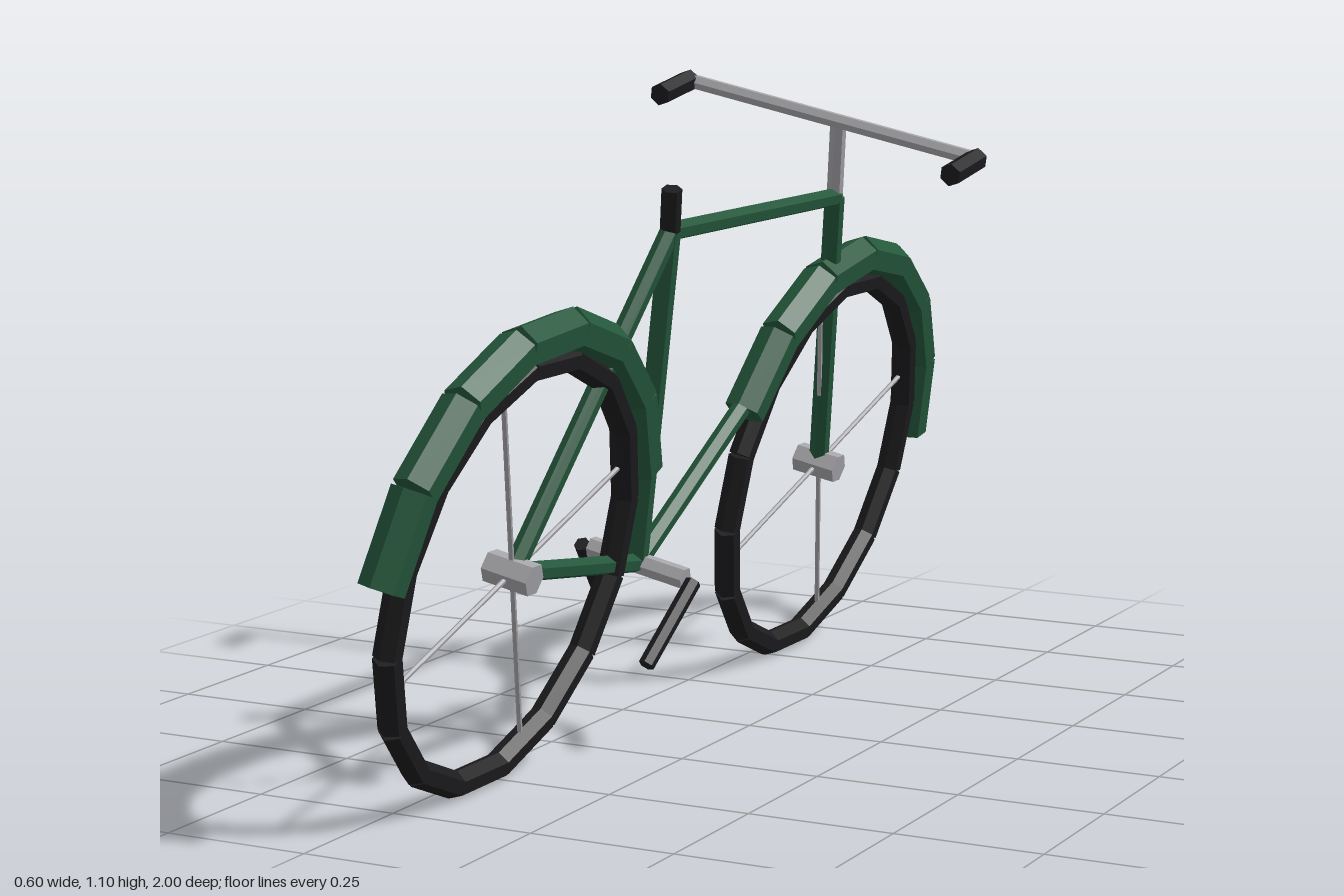
import * as THREE from 'three';

const mat = (name, color) => {
  const m = new THREE.MeshStandardMaterial({ color, flatShading: true });
  m.name = name;
  return m;
};

export function createModel() {
  const green = mat('frame green', 0x24573b);
  const metal = mat('bare metal', 0xa6a6aa);
  const black = mat('rubber black', 0x1c1c1e);

  // Straight six-sided rod between two points [x, y, z]
  const rod = (parent, name, a, b, radius, material) => {
    const p = new THREE.Vector3(...a), q = new THREE.Vector3(...b);
    const dir = q.clone().sub(p);
    const mesh = new THREE.Mesh(new THREE.CylinderGeometry(radius, radius, dir.length(), 6), material);
    mesh.name = name;
    mesh.position.copy(p).lerp(q, 0.5);
    mesh.quaternion.setFromUnitVectors(new THREE.Vector3(0, 1, 0), dir.normalize());
    parent.add(mesh);
  };
  const group = (parent, name) => {
    const g = new THREE.Group();
    g.name = name;
    parent.add(g);
    return g;
  };

  // Upright bicycle, later tilted as a whole
  const model = new THREE.Group();
  model.name = 'bicycle';
  const bike = group(model, 'leaningBicycle');

  // Chain of rods along an arc in the bike's plane; angles in degrees from +z
  const HUB_Y = 0.371;
  const arc = (parent, name, z, radius, start, step, count, thickness, material) => {
    const at = (i) => {
      const t = THREE.MathUtils.degToRad(start + step * i);
      return [0, HUB_Y + radius * Math.sin(t), z + radius * Math.cos(t)];
    };
    for (let i = 0; i < count; i++) rod(parent, name, at(i), at(i + 1), thickness, material);
  };

  // Wheels: tyre ring, four spokes, hub
  const rearZ = 0.564, frontZ = -0.561;
  for (const [name, z] of [['rearWheel', rearZ], ['frontWheel', frontZ]]) {
    const wheel = group(bike, name);
    arc(wheel, 'tyre', z, 0.354, 11.25, 22.5, 16, 0.023, black);
    for (let i = 0; i < 4; i++) {
      const t = THREE.MathUtils.degToRad(22.5 + 90 * i);
      const end = [0, HUB_Y + 0.345 * Math.cos(t), z + 0.345 * Math.sin(t)];
      rod(wheel, 'spoke', [0, HUB_Y, z], end, 0.0045, metal);
    }
    rod(wheel, 'hub', [-0.042, HUB_Y, z], [0.042, HUB_Y, z], 0.028, metal);
  }

  // Mudguards
  arc(group(bike, 'rearMudguard'), 'mudguard', rearZ, 0.402, 7, 22.4, 7, 0.037, green);
  arc(group(bike, 'frontMudguard'), 'mudguard', frontZ, 0.402, 180, -22.5, 7, 0.037, green);

  // Frame
  const rear = [0, HUB_Y, rearZ], front = [0, HUB_Y, frontZ];
  const bottom = [0, 0.303, 0.123], seat = [0, 0.9, 0.232], head = [0, 0.9, -0.395];
  const frame = group(bike, 'frame');
  rod(frame, 'chainStay', rear, bottom, 0.017, green);
  rod(frame, 'seatStay', rear, seat, 0.017, green);
  rod(frame, 'seatTube', bottom, seat, 0.018, green);
  rod(frame, 'topTube', seat, head, 0.017, green);
  rod(frame, 'downTube', bottom, [0, 0.737, -0.43], 0.017, green);
  rod(frame, 'fork', head, front, 0.018, green);
  rod(bike, 'seatPost', seat, [0, 0.974, 0.254], 0.017, black);

  // Stem, handlebar and grips
  const steering = group(bike, 'steering');
  rod(steering, 'stem', head, [0, 1.04, -0.348], 0.0145, metal);
  rod(steering, 'handlebar', [-0.286, 1.05, -0.31], [0.286, 1.05, -0.31], 0.0135, metal);

  // Crank axle and arms
  const cranks = group(bike, 'cranks');
  rod(cranks, 'crankAxle', [-0.093, 0.303, 0.12], [0.093, 0.303, 0.12], 0.019, metal);
  for (const s of [-1, 1]) {
    rod(steering, 'grip', [s * 0.286, 1.05, -0.312], [s * 0.286, 1.03, -0.206], 0.02, black);
    rod(cranks, 'crankArm', [s * 0.11, 0.303, 0.123], [s * 0.11, 0.178, 0.123 + s * 0.12], 0.014, black);
  }

  // Whole bicycle leans toward its left
  bike.rotation.z = -0.209;
  bike.position.x = -0.215;
  return model;
}
